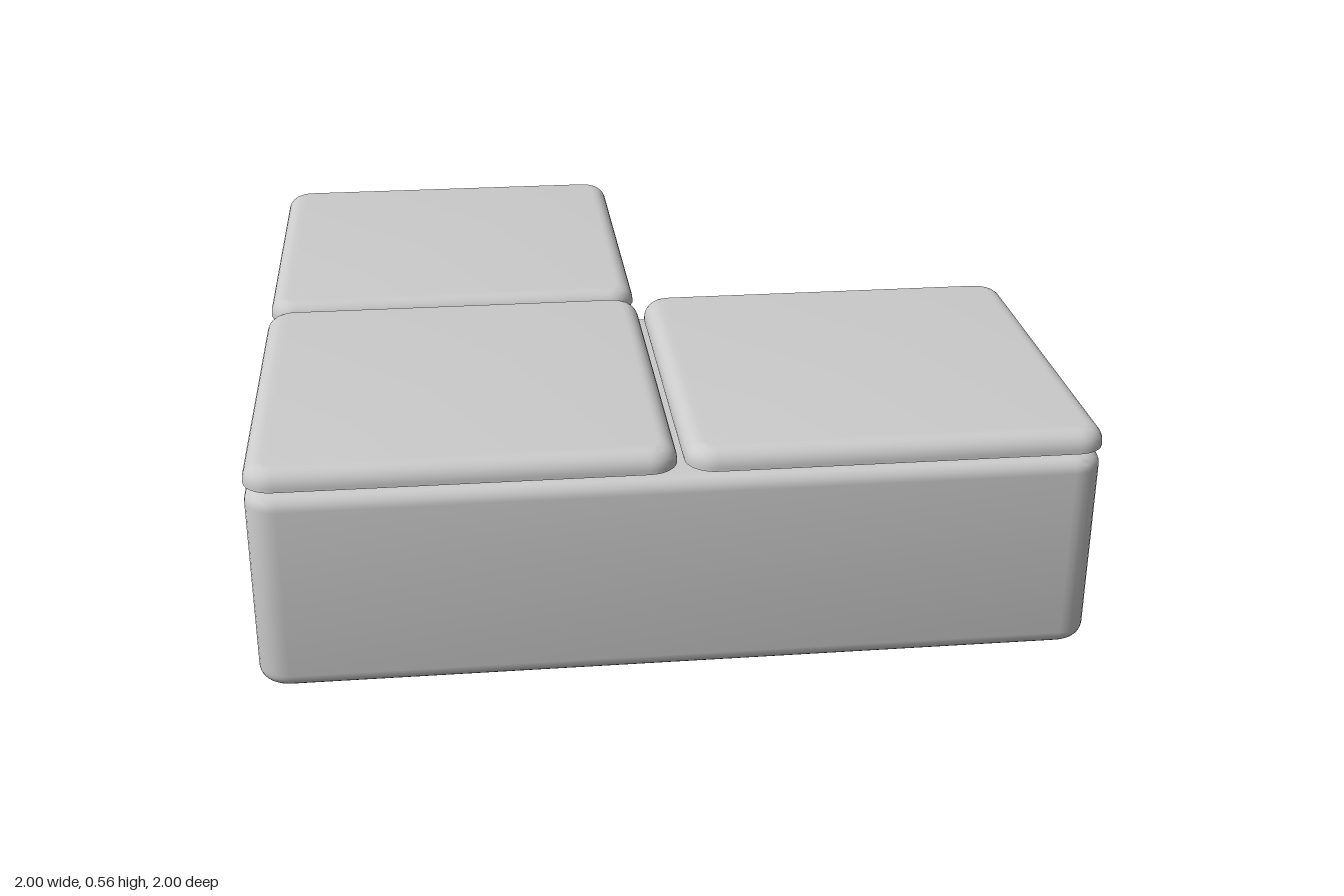
import * as THREE from 'three';
import { toCreasedNormals } from 'three/addons/utils/BufferGeometryUtils.js';

const material = new THREE.MeshStandardMaterial({ color: 0xcccccc });

// Outline from [x, z, cornerRadius] corners; radius 0 keeps a corner sharp
function roundedOutline(corners) {
  const shape = new THREE.Shape();
  const n = corners.length;
  corners.forEach(([x, z, r], i) => {
    const at = ([px, pz]) => new THREE.Vector2(px, -pz);
    const p = at([x, z]);
    const toward = (q) => p.clone().add(at(q).sub(p).setLength(r));
    const a = r ? toward(corners[(i + n - 1) % n]) : p;
    if (i === 0) shape.moveTo(a.x, a.y);
    else shape.lineTo(a.x, a.y);
    if (r) {
      const b = toward(corners[(i + 1) % n]);
      const k = 0.5523;
      const c1 = a.clone().lerp(p, k), c2 = b.clone().lerp(p, k);
      shape.bezierCurveTo(c1.x, c1.y, c2.x, c2.y, b.x, b.y);
    }
  });
  shape.closePath();
  return shape;
}

// Upright slab with softly rounded edges, its bottom at y = 0
function softSlab(corners, height, bevel) {
  const geometry = new THREE.ExtrudeGeometry(roundedOutline(corners), {
    depth: height - 2 * bevel,
    bevelThickness: bevel,
    bevelSize: bevel,
    bevelOffset: -bevel,
    bevelSegments: 6,
    curveSegments: 8,
  });
  return geometry.rotateX(-Math.PI / 2).translate(0, bevel, 0);
}

function addPart(group, name, geometry, x, y, z) {
  const mesh = new THREE.Mesh(toCreasedNormals(geometry, 0.6), material);
  mesh.name = name;
  mesh.position.set(x, y, z);
  group.add(mesh);
}

// Cushion: rounded above, cut flat below
function cushionGeometry() {
  const h = 0.495, r = 0.07, height = 0.05, bevel = 0.042;
  const full = 2 * height;
  const geometry = softSlab([[-h, -h, r], [h, -h, r], [h, h, r], [-h, h, r]], full, bevel);
  geometry.translate(0, -height, 0);
  const pos = geometry.attributes.position;
  for (let i = 0; i < pos.count; i++) pos.setY(i, Math.max(0, pos.getY(i)));
  return geometry;
}

export function createModel() {
  const group = new THREE.Group();
  group.name = 'cornerSeat';

  // L-shaped base with a sharp inner corner
  const e = 0.997, r = 0.075;
  const base = softSlab(
    [[-e, -e, r], [-0.003, -e, r], [-0.003, 0, 0], [e, 0, r], [e, e, r], [-e, e, r]],
    0.5, 0.035);
  addPart(group, 'base', base, 0, 0, 0);

  // Three seat cushions resting just above the base
  const seats = [['backCushion', -0.502, -0.505], ['cornerCushion', -0.502, 0.497], ['sideCushion', 0.505, 0.497]];
  for (const [name, x, z] of seats) addPart(group, name, cushionGeometry(), x, 0.514, z);
  return group;
}
